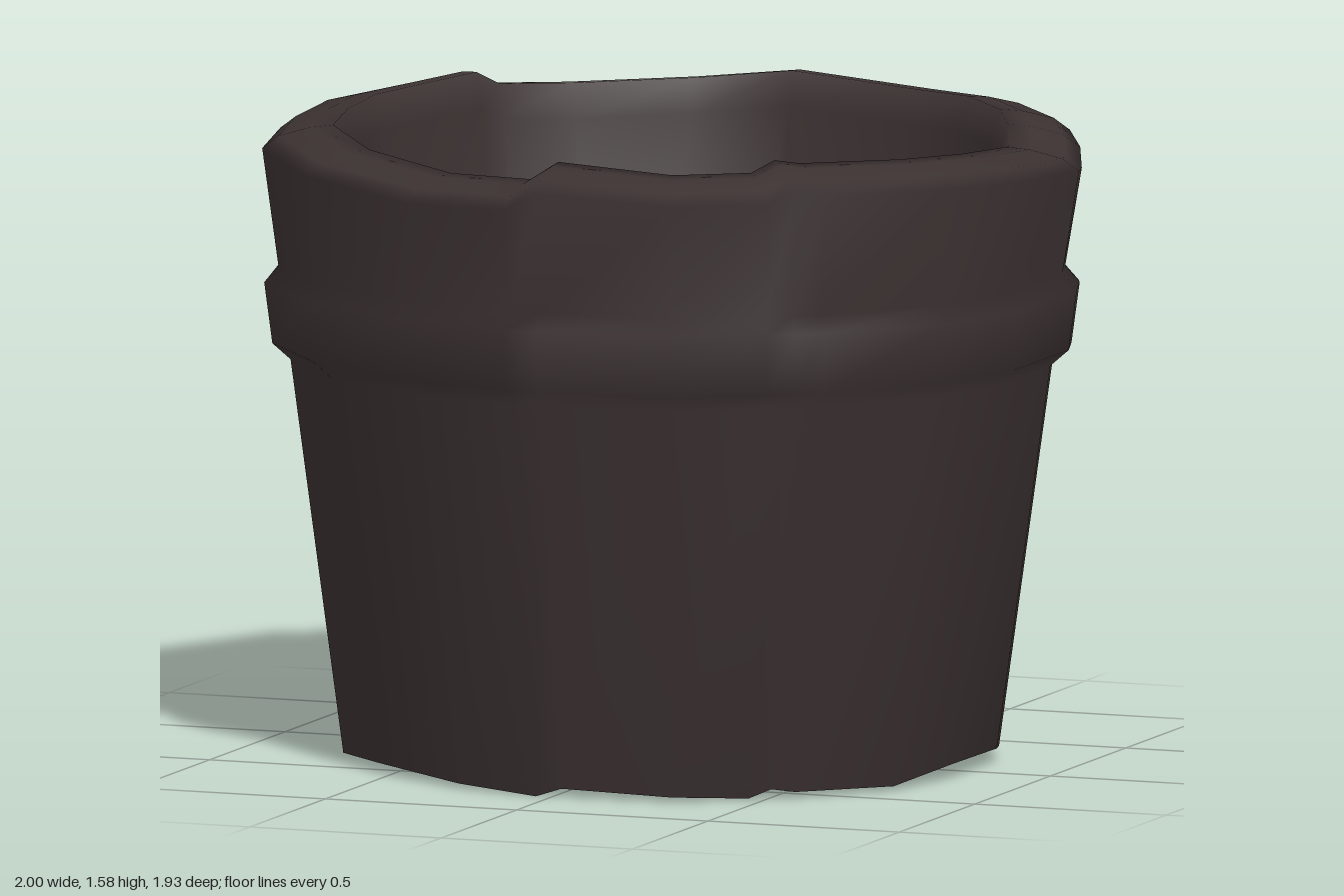
import * as THREE from 'three';

// Rim outline seen from above: x, z, height of the lip's inner crest at that point
const OUTLINE = [
  [1.0, -0.19, 1.515], [1.0, 0.18, 1.54], [0.92, 0.46, 1.555], [0.7, 0.72, 1.565],
  [0.64, 0.765, 1.575], [0.58, 0.8, 1.545], [0.38, 0.93, 1.545], [0.03, 0.955, 1.565],
  [-0.05, 0.965, 1.52], [-0.33, 0.9, 1.515], [-0.67, 0.7, 1.535], [-0.89, 0.43, 1.555],
  [-0.985, 0.07, 1.55], [-1.0, -0.19, 1.555], [-0.82, -0.54, 1.578], [-0.77, -0.6, 1.545],
  [-0.6, -0.77, 1.535], [-0.28, -0.92, 1.545], [0.01, -0.97, 1.57], [0.44, -0.87, 1.555],
  [0.67, -0.72, 1.565], [0.85, -0.51, 1.565], [0.94, -0.35, 1.55], [0.96, -0.31, 1.505],
];

// Cross-section from the underside, over the lip and down the inside: scale, height
const PROFILE = [
  [0.7, 0.04], [0.8, 0.035], [0.93, 0.98], [0.975, 1.02], [0.995, 1.17], [0.96, 1.21],
  [1.0, 1.5], [0.96, 1.53], [0.88, 1.55], [0.825, 1.555], [0.8, 1.47], [0.64, 0.17],
];
const FOOT = 1;

function potGeometry() {
  const n = OUTLINE.length;
  const positions = [];
  const index = [];

  // Rings: the lip follows its own height, the foot is slightly uneven
  PROFILE.forEach(([scale, height], j) => {
    OUTLINE.forEach(([x, z, lip], i) => {
      let y = height;
      if (height > 1.4) y += lip - 1.555;
      if (j === FOOT) y = Math.max(0, 0.032 - 0.022 * z + 0.012 * Math.sin(i * 2.1));
      positions.push(x * scale, y, z * scale);
    });
  });

  // Walls
  for (let j = 0; j < PROFILE.length - 1; j++) {
    for (let i = 0; i < n; i++) {
      const k = (i + 1) % n;
      const a = j * n + i, b = j * n + k, c = a + n, d = b + n;
      index.push(a, c, b, b, c, d);
    }
  }

  // Underside and inner floor
  const under = positions.length / 3;
  const floor = under + 1;
  positions.push(0, 0.04, 0, 0, 0.16, 0);
  const last = (PROFILE.length - 1) * n;
  for (let i = 0; i < n; i++) {
    const k = (i + 1) % n;
    index.push(under, i, k, floor, last + k, last + i);
  }

  const geometry = new THREE.BufferGeometry();
  geometry.setAttribute('position', new THREE.Float32BufferAttribute(positions, 3));
  geometry.setIndex(index);
  geometry.computeVertexNormals();
  return geometry;
}

export function createModel() {
  const group = new THREE.Group();
  group.name = 'flowerPot';
  const clay = new THREE.MeshStandardMaterial({ color: 0x3b3131 });
  clay.name = 'dark brown clay';
  const pot = new THREE.Mesh(potGeometry(), clay);
  pot.name = 'pot';
  group.add(pot);
  return group;
}
